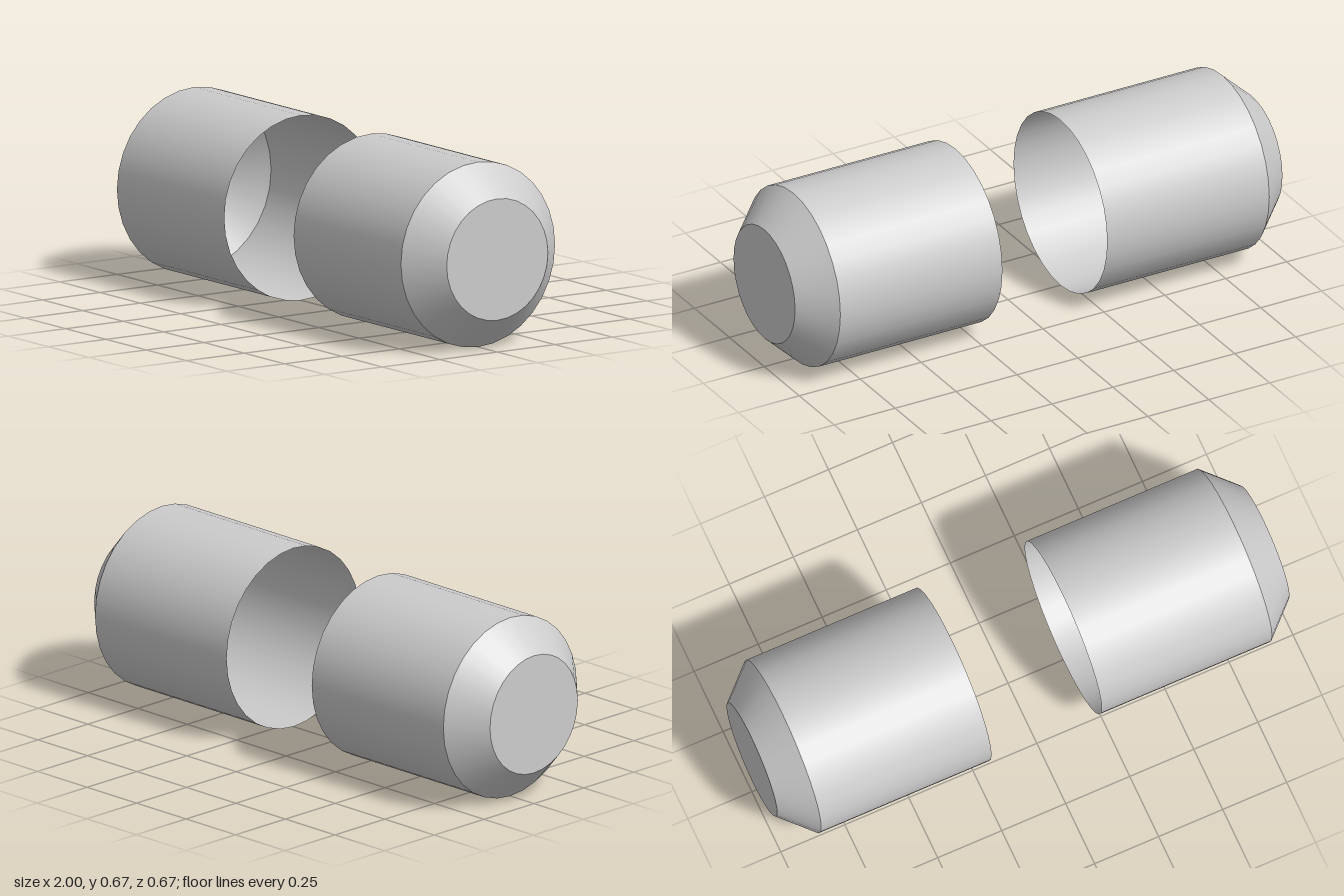
import * as THREE from 'three';

const SEGMENTS = 32;
const RADIUS = 0.335;      // outer wall
const CAP_RADIUS = 0.22;   // flat closed end
const INNER = 0.215;       // open rim, distance from the centre
const SHOULDER = 0.88;     // where the taper begins
const OUTER = 1;           // closed end

export function createModel() {
  const model = new THREE.Group();
  model.name = 'capPair';
  const grey = new THREE.MeshStandardMaterial({ color: 0xcccccc, side: THREE.DoubleSide });
  grey.name = 'light grey';

  // open tube section between two heights along the cup axis
  const section = (name, r0, r1, from, to) => {
    const geometry = new THREE.CylinderGeometry(r1, r0, to - from, SEGMENTS, 1, true);
    geometry.translate(0, (from + to) / 2, 0);
    const mesh = new THREE.Mesh(geometry, grey);
    mesh.name = name;
    return mesh;
  };

  // one hollow cup, open towards the centre, built along +y
  const cup = (name, side) => {
    const group = new THREE.Group();
    group.name = name;
    const cap = new THREE.Mesh(new THREE.CircleGeometry(CAP_RADIUS, SEGMENTS), grey);
    cap.name = 'endCap';
    cap.rotation.x = -Math.PI / 2;
    cap.position.y = OUTER;
    group.add(
      section('wall', RADIUS, RADIUS, INNER, SHOULDER),
      section('taper', RADIUS, CAP_RADIUS, SHOULDER, OUTER),
      cap
    );
    // lay the axis along x
    group.rotation.z = -side * Math.PI / 2;
    group.position.y = RADIUS;
    return group;
  };

  model.add(cup('leftCup', 1), cup('rightCup', -1));
  return model;
}
